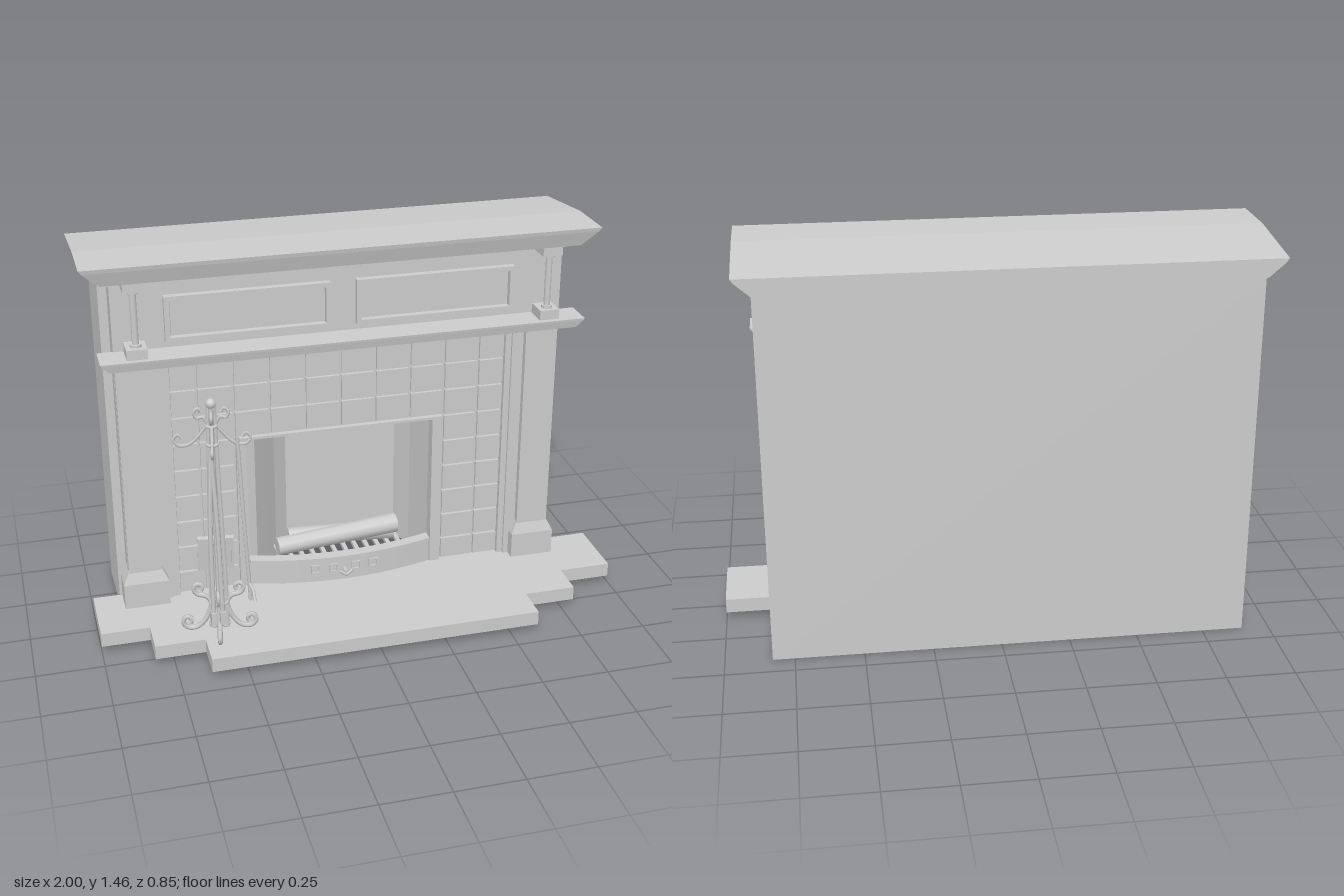
import * as THREE from 'three';

const grey = new THREE.MeshStandardMaterial({ color: 0xcccccc, side: THREE.DoubleSide });
const CX = -0.037; // centre line of the fireplace

function add(parent, name, geo) {
  const m = new THREE.Mesh(geo, grey);
  m.name = name;
  parent.add(m);
  return m;
}

// Box given by its limits on each axis
function box(parent, name, x0, x1, y0, y1, z0, z1) {
  const g = new THREE.BoxGeometry(x1 - x0, y1 - y0, z1 - z0);
  g.translate((x0 + x1) / 2, (y0 + y1) / 2, (z0 + z1) / 2);
  return add(parent, name, g);
}

// Slab from a plan outline of [x, z] points
function slab(parent, name, pts, y0, y1) {
  const s = new THREE.Shape(pts.map(([x, z]) => new THREE.Vector2(x, -z)));
  const g = new THREE.ExtrudeGeometry(s, { depth: y1 - y0, bevelEnabled: false });
  g.rotateX(-Math.PI / 2).translate(0, y0, 0);
  return add(parent, name, g);
}

const outline = pts => pts.map(p => new THREE.Vector2(...p));
const extrudeZ = (shape, z0, z1) =>
  new THREE.ExtrudeGeometry(shape, { depth: z1 - z0, bevelEnabled: false }).translate(0, 0, z0);

// Closed frame with a rectangular opening of border width t
function frame(parent, name, x0, x1, y0, y1, t, z0, z1) {
  const rect = (a, b, c, d) => outline([[a, c], [b, c], [b, d], [a, d]]);
  const s = new THREE.Shape(rect(x0, x1, y0, y1));
  s.holes.push(new THREE.Path(rect(x0 + t, x1 - t, y0 + t, y1 - t)));
  return add(parent, name, extrudeZ(s, z0, z1));
}

// Doorway frame, open at the foot: outer x0..x1 up to yTop, opening a..b up to yOpen
function doorway(parent, name, x0, x1, yTop, a, b, yOpen, z0, z1) {
  const y = 0.088;
  const s = new THREE.Shape(outline([[x0, y], [a, y], [a, yOpen], [b, yOpen], [b, y], [x1, y], [x1, yTop], [x0, yTop]]));
  return add(parent, name, extrudeZ(s, z0, z1));
}

// Upright sheet following [x, z] points; yAt gives its bottom and top
function sheet(parent, name, pts, yAt) {
  let g = new THREE.PlaneGeometry(1, 1, pts.length - 1, 1);
  const p = g.attributes.position;
  for (let i = 0; i < p.count; i++) {
    const [x, z] = pts[i % pts.length];
    p.setXYZ(i, x, yAt(z)[i < pts.length ? 1 : 0], z);
  }
  g = g.toNonIndexed();
  g.computeVertexNormals();
  return add(parent, name, g);
}

function rod(parent, name, pts, r, segs = 24) {
  const c = new THREE.CatmullRomCurve3(pts.map(p => new THREE.Vector3(...p)));
  return add(parent, name, new THREE.TubeGeometry(c, segs, r, 6));
}

// Ledge that flares outward from its bottom edge to a thin lip on top
function flaredLedge(parent, name, x0, x1, y0, y1, zBack, zFront, inset, insetZ, zMid) {
  const g = new THREE.BoxGeometry(1, 1, 1, 1, 2, 2).toNonIndexed();
  const p = g.attributes.position;
  for (let i = 0; i < p.count; i++) {
    const u = p.getX(i), v = p.getY(i), w = p.getZ(i);
    const k = v > 0.4 ? 0 : v > -0.4 ? 0.15 : 1;
    const z = w > 0.4 ? zFront - insetZ * k : w > -0.4 ? zMid : zBack;
    const y = v > 0.4 ? y1 : v > -0.4 ? y1 - (y1 - y0) * 0.22 : y0;
    p.setXYZ(i, u < 0 ? x0 + inset * k : x1 - inset * k, y + Math.min(0, (z + 0.1) * 0.11), z);
  }
  g.computeVertexNormals();
  return add(parent, name, g);
}

function buildMantel(root) {
  const g = new THREE.Group();
  g.name = 'mantelpiece';
  root.add(g);
  flaredLedge(g, 'mantelTop', -0.975, 0.895, 1.403, 1.47, -0.425, 0.11, 0.07, 0.02, -0.1);
  flaredLedge(g, 'lowerShelf', -0.925, 0.852, 1.09, 1.125, -0.01, 0.107, 0.03, 0.008, 0.03);
  // Sloping chimney casing, open underneath
  sheet(g, 'rearCasing', [[0.78, -0.095], [0.83, -0.095], [0.83, -0.42], [-0.9, -0.42], [-0.9, -0.095], [-0.86, -0.095]],
    z => [0.045 + (z + 0.1) * 0.11, 1.405 + (z + 0.1) * 0.11]);
  // Wooden front with the opening for the tiles
  doorway(g, 'surround', -0.868, 0.793, 1.1, -0.7, 0.625, 1.06, -0.1, -0.03);
  doorway(g, 'surroundMoulding', -0.7, 0.625, 1.06, -0.673, 0.602, 1.037, -0.08, -0.04);
  box(g, 'frieze', -0.868, 0.793, 1.09, 1.405, -0.1, -0.005);
  box(g, 'friezeMoulding', -0.878, 0.803, 1.37, 1.405, -0.092, 0.002);
  for (const c of [-0.387, 0.305]) {
    const w = 0.298;
    frame(g, 'friezePanel', c - w, c + w, 1.15, 1.32, 0.017, -0.01, 0.02);
    box(g, 'panelField', c - w + 0.022, c + w - 0.022, 1.172, 1.298, -0.01, 0.006);
  }
  for (const s of [-1, 1]) {
    const px = CX + s * 0.768, mx = CX + s * 0.757;
    box(g, 'pilaster', px - 0.062, px + 0.062, 0.22, 1.095, -0.09, -0.005);
    box(g, 'pilasterPlinth', px - 0.085, px + 0.085, 0.085, 0.19, -0.1, 0.01);
    const m = new THREE.CylinderGeometry(0.063 * Math.SQRT2, 0.085 * Math.SQRT2, 0.045, 4, 1).rotateY(Math.PI / 4);
    m.scale(1, 1, 0.62).translate(px, 0.2125, -0.045);
    const mesh = add(g, 'plinthMoulding', m.toNonIndexed());
    mesh.geometry.computeVertexNormals();
    // Small column between shelf and mantel top
    box(g, 'columnBase', mx - 0.037, mx + 0.037, 1.125, 1.162, 0.002, 0.088);
    box(g, 'columnCapital', mx - 0.037, mx + 0.037, 1.37, 1.405, 0.002, 0.088);
    for (const [r, y0, y1] of [[0.02, 1.16, 1.172], [0.012, 1.17, 1.36], [0.02, 1.358, 1.372]])
      add(g, 'column', new THREE.CylinderGeometry(r, r, y1 - y0, 16).translate(mx, (y0 + y1) / 2, 0.053));
  }
}

function buildFireplace(root) {
  const g = new THREE.Group();
  g.name = 'fireplace';
  root.add(g);
  doorway(g, 'tileBacking', -0.7, 0.625, 1.06, -0.42, 0.342, 0.71, -0.09, -0.065);
  // Tiles fill a grid and skip the fire opening
  const x0 = -0.71, pw = 0.1345, ph = 0.107;
  for (let i = 0; i < 10; i++) for (let j = 0; j < 9; j++) {
    const a = Math.max(x0 + i * pw, -0.675), b = Math.min(x0 + (i + 1) * pw, 0.605);
    const c = Math.max(1.04 - (j + 1) * ph, 0.09), d = 1.04 - j * ph;
    if ((j > 2 && i > 1 && i < 8) || b - a < 0.03 || d - c < 0.02) continue;
    box(g, 'tile', a + 0.005, b - 0.005, c + 0.005, d - 0.005, -0.07, -0.053);
  }
  doorway(g, 'openingTrim', -0.438, 0.363, 0.718, -0.4, 0.322, 0.708, -0.1, -0.045);
  const plan = [[-0.4, -0.09], [-0.36, -0.1], [-0.31, -0.17], [-0.255, -0.25], [-0.2, -0.3],
    [0.245, -0.3], [0.285, -0.22], [0.322, -0.09]];
  sheet(g, 'firebox', plan, () => [0.085, 0.71]);
  slab(g, 'fireboxRoof', plan, 0.71, 0.715);

  // Bowed ash front with vents and a knob
  const bow = (x, z) => z + 0.055 * (1 - ((x - CX) / 0.36) ** 2);
  const arc = (z, n = 16) => Array.from({ length: n + 1 }, (_, i) => {
    const x = -0.398 + 0.718 * i / n;
    return [x, bow(x, z)];
  });
  slab(g, 'ashFront', [...arc(-0.053), ...arc(-0.085).reverse()], 0.088, 0.185);
  slab(g, 'ashFrontRim', [...arc(-0.045), ...arc(-0.09).reverse()], 0.183, 0.195);
  for (const d of [-0.115, -0.045, 0.045, 0.115]) {
    const x = CX + d, z = bow(x, -0.053);
    frame(g, 'vent', x - 0.018, x + 0.018, 0.127, 0.163, 0.006, z - 0.01, z + 0.006);
  }
  const knob = add(g, 'knob', new THREE.CylinderGeometry(0.008, 0.008, 0.035, 12).rotateX(Math.PI / 2));
  knob.position.set(CX, 0.135, 0.012);
  rod(g, 'knobHandle', [[CX - 0.025, 0.14, 0.024], [CX, 0.125, 0.028], [CX + 0.025, 0.14, 0.024]], 0.006);

  // Fire grate and logs
  for (let i = 0; i < 12; i++) {
    const x = -0.27 + i * 0.044;
    box(g, 'grateBar', x, x + 0.016, 0.13, 0.145, -0.28, -0.08);
  }
  for (const z of [-0.28, -0.08]) box(g, 'grateRail', -0.3, 0.26, 0.125, 0.145, z - 0.008, z + 0.008);
  const log = (name, x, y, z, r, len, turn, tilt) => {
    const m = add(g, name, new THREE.CylinderGeometry(r, r * 1.1, len, 10).rotateZ(Math.PI / 2));
    m.position.set(x, y, z);
    m.rotation.set(0, turn, tilt);
  };
  log('frontLog', -0.035, 0.215, -0.13, 0.036, 0.49, 0.08, 0.04);
  log('backLog', 0, 0.175, -0.21, 0.036, 0.42, -0.1, 0);
}

function buildFireIrons(root) {
  const g = new THREE.Group();
  g.name = 'fireIronStand';
  g.position.set(-0.575, 0, 0.262);
  root.add(g);
  add(g, 'finial', new THREE.SphereGeometry(0.018, 16, 12).translate(0, 1.012, 0));
  for (const [y, r] of [[0.228, 0.032], [0.86, 0.02], [0.93, 0.018]])
    add(g, 'collar', new THREE.TorusGeometry(r, 0.006, 6, 20).rotateX(Math.PI / 2).translate(0, y, 0));
  // Four matching quarters: upright, scroll foot, hook and top scroll as [radius, height]
  const foot = [[0.065, 0.275], [0.058, 0.292], [0.074, 0.303], [0.09, 0.288], [0.08, 0.262], [0.045, 0.25],
    [0.03, 0.225], [0.045, 0.165], [0.08, 0.125], [0.115, 0.122], [0.133, 0.145], [0.118, 0.168],
    [0.1, 0.155], [0.108, 0.14]];
  const innerFoot = [[0.026, 0.25], [0.012, 0.2], [0.008, 0.14], [0.02, 0.122], [0.032, 0.135], [0.02, 0.15]];
  const hook = [[0.012, 0.94], [0.04, 0.9], [0.08, 0.862], [0.115, 0.858], [0.133, 0.88], [0.118, 0.9], [0.104, 0.886]];
  const curl = [[0.012, 0.93], [0.03, 0.962], [0.05, 0.96], [0.06, 0.98], [0.045, 0.995], [0.033, 0.982]];
  const upright = [[0.028, 0.12], [0.026, 0.35], [0.017, 0.7], [0.01, 1.0]];
  for (let i = 0; i < 4; i++) {
    const q = new THREE.Group();
    q.name = 'standQuarter';
    q.rotation.y = i * Math.PI / 2 - 0.17;
    g.add(q);
    const draw = (name, pts, r) => rod(q, name, pts.map(([a, b]) => [a, b, 0]), r, 40);
    draw('upright', upright, 0.0085);
    draw('scrollFoot', foot, 0.009);
    draw('innerScroll', innerFoot, 0.008);
    draw('hook', hook, 0.006);
    draw('topScroll', curl, 0.006);
  }
  // Hanging tools
  rod(g, 'shovelHandle', [[0.02, 0.88, -0.085], [0.02, 0.65, -0.102], [0.018, 0.4, -0.122]], 0.007);
  const shovel = new THREE.Group();
  shovel.name = 'shovel';
  shovel.position.set(0.015, 0.355, -0.125);
  shovel.rotation.set(0.1, -0.12, 0);
  g.add(shovel);
  box(shovel, 'shovelBlade', -0.062, 0.062, -0.075, 0.07, -0.01, -0.004);
  for (const s of [-1, 1]) box(shovel, 'shovelSide', s * 0.062 - 0.004, s * 0.062 + 0.004, -0.07, 0.07, -0.01, 0.01);
  box(shovel, 'shovelBack', -0.062, 0.062, 0.062, 0.07, -0.01, 0.01);
  for (const s of [-1, 1]) {
    rod(g, 'tongArm', [[-0.022, 0.88, 0.09], [-0.024 + s * 0.012, 0.6, 0.106], [-0.024 + s * 0.016, 0.25, 0.122]], 0.0085);
    box(g, 'tongTip', -0.024 + s * 0.016 - 0.01, -0.024 + s * 0.016 + 0.01, 0.21, 0.26, 0.108, 0.135);
  }
  rod(g, 'poker', [[0.085, 0.88, 0.015], [0.098, 0.55, 0.02], [0.112, 0.23, 0.025]], 0.0075);
  rod(g, 'pokerHook', [[0.109, 0.3, 0.024], [0.118, 0.28, 0.05], [0.118, 0.25, 0.075]], 0.006);
}

export function createModel() {
  const root = new THREE.Group();
  root.name = 'fireplaceWithMantel';
  // Stepped hearth
  slab(root, 'hearth', [[-1, -0.1], [-1, 0.16], [-0.82, 0.16], [-0.82, 0.292], [-0.635, 0.292], [-0.635, 0.425],
    [0.605, 0.425], [0.605, 0.292], [0.8, 0.292], [0.8, 0.16], [1, 0.16], [1, -0.1]], 0.036, 0.09);
  buildMantel(root);
  buildFireplace(root);
  buildFireIrons(root);
  return root;
}
